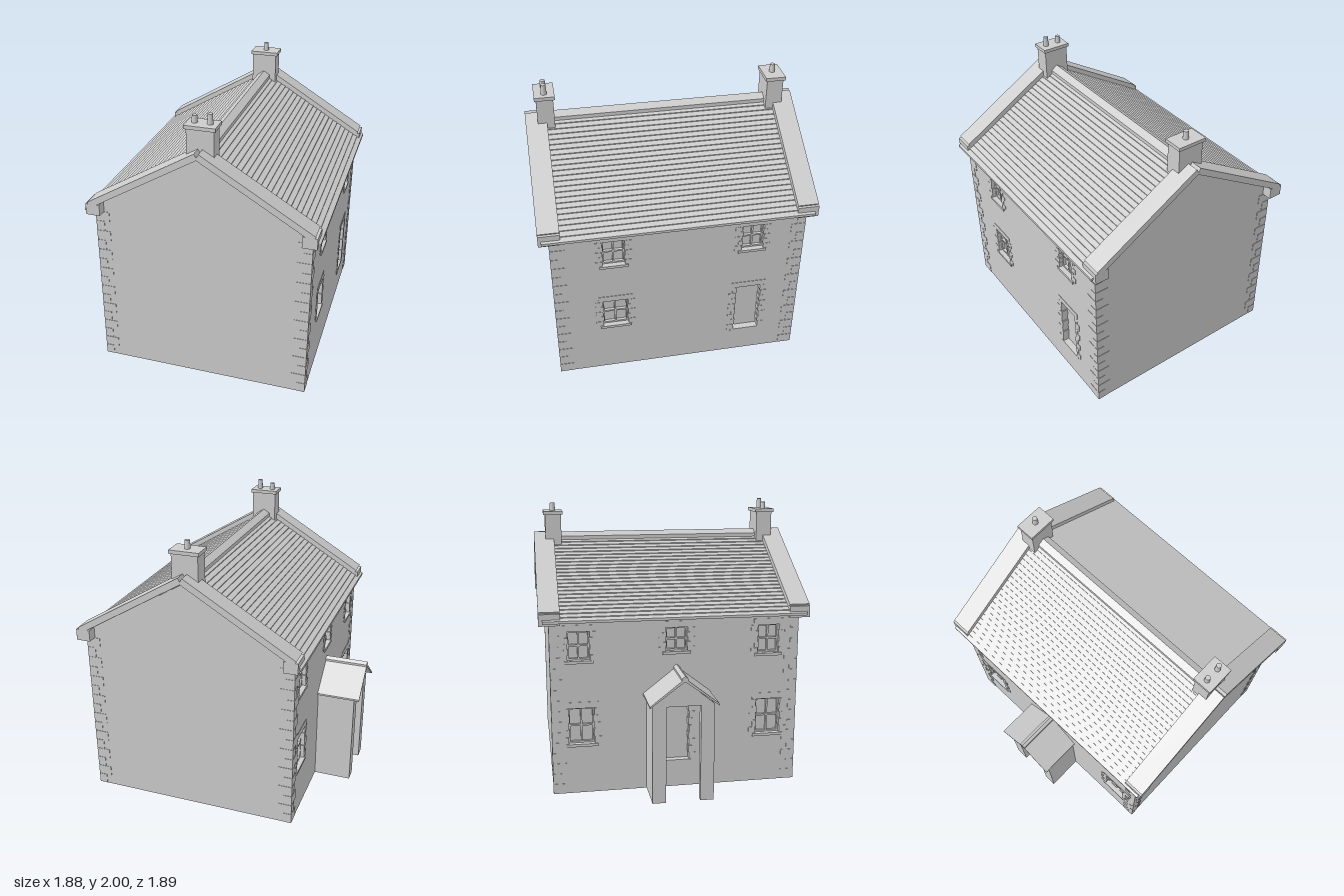
import * as THREE from 'three';

const stone = new THREE.MeshStandardMaterial({ color: 0xcccccc, side: THREE.DoubleSide });
stone.name = 'palePlaster';

const RIDGE_X = 0.125, HALF_W = 0.755, HALF_L = 0.875, EAVE = 1.27;

function add(parent, name, geo, x = 0, y = 0, z = 0) {
  const m = new THREE.Mesh(geo, stone);
  m.name = name;
  m.position.set(x, y, z);
  parent.add(m);
  return m;
}

// Box given by its lower and upper limits on each axis
function box(parent, name, x0, x1, y0, y1, z0, z1) {
  return add(parent, name, new THREE.BoxGeometry(x1 - x0, y1 - y0, z1 - z0),
    (x0 + x1) / 2, (y0 + y1) / 2, (z0 + z1) / 2);
}

function polygon(pts) {
  return new THREE.Shape(pts.map(p => new THREE.Vector2(p[0], p[1])));
}

// Profile in x, y pushed along z from z0 to z1
function prism(parent, name, pts, z0, z1) {
  const geo = new THREE.ExtrudeGeometry(polygon(pts), { depth: z1 - z0, bevelEnabled: false });
  return add(parent, name, geo, 0, 0, z0);
}

function rectHole(u, y, w, h) {
  return new THREE.Path([[-1, 0], [-1, 1], [1, 1], [1, 0]]
    .map(([a, b]) => new THREE.Vector2(u + a * w / 2, y + b * h)));
}

// Stone surround with toothed jambs, and a recessed sash or door
function opening(parent, o) {
  const g = new THREE.Group();
  g.name = o.door ? 'doorway' : 'window';
  g.position.set(o.u, o.y, 0);
  parent.add(g);
  const w = o.w / 2, out = 0.003, deep = -0.075, n = o.door ? 8 : 5;
  for (const s of [-1, 1]) {
    for (let i = 0; i < n; i++) {
      const a = s * (w - (i % 2 ? 0.006 : 0)), b = s * (w + (i % 2 ? 0.025 : 0.05));
      box(g, 'jambStone', Math.min(a, b), Math.max(a, b),
        i * o.h / n + 0.001, (i + 1) * o.h / n - 0.001, deep, out);
    }
  }
  box(g, 'lintel', -w - 0.03, w + 0.03, o.h, o.h + 0.045, deep, out);
  box(g, 'sill', -w - 0.022, w + 0.022, -0.02, 0, deep, o.door ? out : 0.01);
  box(g, o.door ? 'doorLeaf' : 'glass', -w, w, 0, o.h, -0.07, -0.045);
  if (o.door) return;
  const t = 0.012, z0 = -0.045, z1 = -0.025;
  for (const c of [-w + t / 2, 0, w - t / 2]) {
    box(g, 'sashUpright', c - t / 2, c + t / 2, 0, o.h, z0, z1);
  }
  for (const c of [t / 2, o.h / 2, o.h - t / 2]) {
    box(g, 'sashRail', -w, w, c - t / 2, c + t / 2, z0, z1);
  }
}

// Long wall with cut openings, built facing local +z
function longWall(root, side, openings) {
  const g = new THREE.Group();
  g.name = side > 0 ? 'leftWall' : 'rightWall';
  g.position.x = RIDGE_X + side * HALF_W;
  g.rotation.y = side * Math.PI / 2;
  root.add(g);
  const s = polygon([[-HALF_L, 0], [HALF_L, 0], [HALF_L, EAVE], [-HALF_L, EAVE]]);
  for (const o of openings) {
    s.holes.push(rectHole(o.u, o.y, o.w, o.h));
  }
  add(g, 'wallFace', new THREE.ShapeGeometry(s));
  openings.forEach(o => opening(g, o));
  return g;
}

function porch(wall) {
  const g = new THREE.Group();
  g.name = 'porch';
  wall.add(g);
  const front = polygon([[-0.215, 0], [-0.12, 0], [-0.12, 0.69], [0.12, 0.69], [0.12, 0],
    [0.215, 0], [0.215, 0.698], [0, 0.873], [-0.215, 0.698]]);
  add(g, 'porchFront', new THREE.ExtrudeGeometry(front, { depth: 0.05, bevelEnabled: false }), 0, 0, 0.22);
  for (const s of [-1, 1]) {
    const a = s * 0.215, b = s * 0.17;
    box(g, 'porchSide', Math.min(a, b), Math.max(a, b), 0, 0.698, 0, 0.22);
    prism(g, 'porchRoof', [[0, 0.895], [s * 0.237, 0.71], [s * 0.237, 0.697], [0, 0.873]], 0, 0.31);
  }
  prism(g, 'porchRidge', [[-0.022, 0.87], [0.022, 0.87], [0.022, 0.893], [0, 0.912], [-0.022, 0.893]], 0, 0.31);
}

function chimney(root, z, pots) {
  const g = new THREE.Group();
  g.name = 'chimney';
  g.position.set(RIDGE_X, 0, z);
  root.add(g);
  box(g, 'stack', -0.093, 0.093, 1.67, 1.905, -0.058, 0.058);
  box(g, 'stackCap', -0.105, 0.105, 1.905, 1.93, -0.07, 0.07);
  for (const [x, top] of pots) {
    add(g, 'chimneyPot', new THREE.CylinderGeometry(0.017, 0.02, top - 1.925, 16), x, (top + 1.925) / 2, 0);
  }
}

function roof(root) {
  const g = new THREE.Group();
  g.name = 'roof';
  g.position.x = RIDGE_X;
  root.add(g);
  const reach = 0.812, courses = 24;
  const plane = d => 1.738 - 0.6 * d;
  for (const s of [-1, 1]) {
    // Overlapping slate courses from eave to ridge
    const pts = [[0, plane(0) - 0.012], [s * reach, plane(reach) - 0.012]];
    for (let i = 0; i < courses; i++) {
      const d0 = reach * (1 - i / courses), d1 = reach * (1 - (i + 1) / courses);
      pts.push([s * d0, plane(d0) + 0.006], [s * d1, plane(d1)]);
    }
    prism(g, 'slates', pts, -0.92, 0.925);
    for (const e of [-1, 1]) {
      const z0 = e > 0 ? 0.8 : -0.945, z1 = z0 + 0.145;
      prism(g, 'gableCoping', [[s * 0.015, 1.775], [s * 0.782, 1.315],
        [s * 0.759, 1.276], [s * -0.008, 1.736]], z0, z1);
      const a = s * 0.695, b = s * 0.795;
      box(g, 'kneelerStone', Math.min(a, b), Math.max(a, b), 1.222, 1.303, z0, z1);
    }
  }
  prism(g, 'ridgeTiles', [[0, 1.772], [0.048, 1.742], [0.048, 1.715], [0, 1.735],
    [-0.048, 1.715], [-0.048, 1.742]], -0.8, 0.8);
}

export function createModel() {
  const root = new THREE.Group();
  root.name = 'house';

  // Gable walls
  const gable = polygon([[-HALF_W, 0], [HALF_W, 0], [HALF_W, EAVE], [0, 1.717], [-HALF_W, EAVE]]);
  for (const e of [-1, 1]) {
    const m = add(root, e > 0 ? 'frontGable' : 'backGable', new THREE.ShapeGeometry(gable), RIDGE_X, 0, e * HALF_L);
    if (e < 0) m.rotation.y = Math.PI;
  }

  // Long walls with windows and doors
  longWall(root, 1, [
    { u: -0.455, y: 0.965, w: 0.155, h: 0.205 },
    { u: 0.51, y: 0.965, w: 0.155, h: 0.205 },
    { u: -0.455, y: 0.41, w: 0.18, h: 0.23 },
    { u: 0.508, y: 0.205, w: 0.185, h: 0.415, door: true },
  ]);
  const porchWall = longWall(root, -1, [
    { u: -0.68, y: 0.965, w: 0.155, h: 0.205 },
    { u: 0, y: 1.005, w: 0.155, h: 0.17 },
    { u: 0.66, y: 0.965, w: 0.155, h: 0.205 },
    { u: -0.67, y: 0.365, w: 0.18, h: 0.26 },
    { u: 0.67, y: 0.365, w: 0.18, h: 0.26 },
    { u: 0, y: 0.2, w: 0.185, h: 0.415, door: true },
  ]);
  porch(porchWall);

  // Alternating corner stones
  const count = 16, step = 1.222 / count, out = 0.003;
  for (const s of [-1, 1]) {
    for (const e of [-1, 1]) {
      for (let i = 0; i < count; i++) {
        const lx = i % 2 ? 0.1 : 0.06, lz = i % 2 ? 0.06 : 0.1;
        add(root, 'cornerStone', new THREE.BoxGeometry(lx, step - 0.004, lz),
          RIDGE_X + s * (HALF_W + out - lx / 2), (i + 0.5) * step, e * (HALF_L + out - lz / 2));
      }
    }
  }

  roof(root);
  chimney(root, 0.805, [[-0.053, 1.98], [0.05, 2.0]]);
  chimney(root, -0.803, [[0, 1.988]]);
  return root;
}
